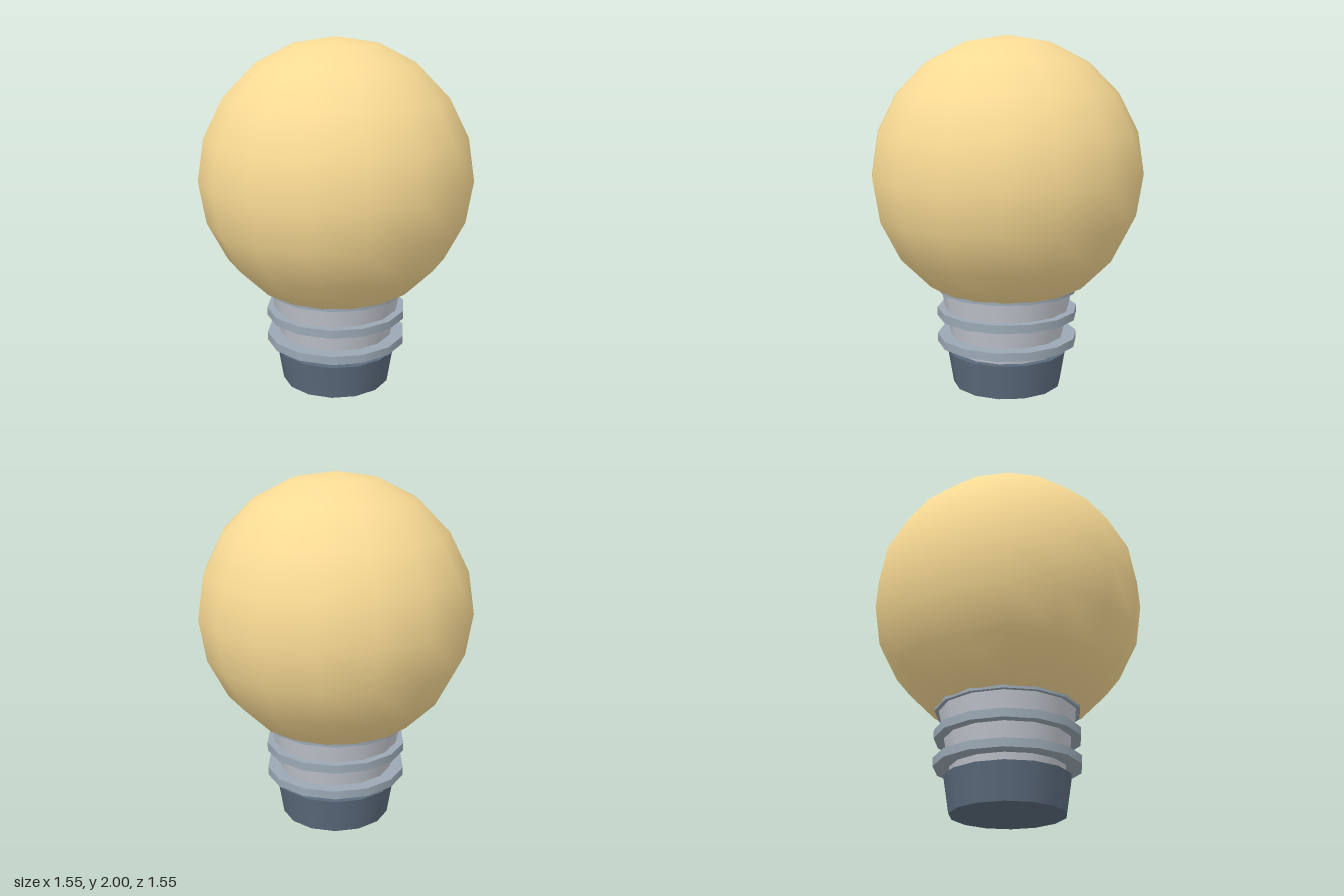
import * as THREE from 'three';

const SIDES = 14;

export function createModel() {
  const model = new THREE.Group();

  const add = (name, geometry, color, y) => {
    const mesh = new THREE.Mesh(geometry, new THREE.MeshStandardMaterial({ color }));
    mesh.name = name;
    mesh.position.y = y;
    model.add(mesh);
  };

  // Round part standing on bottomY, with a corner of its polygon on the x axis
  const addRound = (name, topR, bottomR, bottomY, topY, color) => {
    const height = topY - bottomY;
    const geometry = new THREE.CylinderGeometry(topR, bottomR, height, SIDES, 1, false, Math.PI / 2);
    add(name, geometry, color, bottomY + height / 2);
  };

  // Glass globe
  add('globe', new THREE.SphereGeometry(0.773, 16, 10), 0xf8da94, 1.227);

  // Tapered metal neck, reaching up into the globe
  addRound('neck', 0.394, 0.308, 0.2, 0.62, 0xc6cad2);

  // Screw thread rings
  for (let i = 0; i < 3; i++) {
    const y = 0.249 + i * 0.156;
    addRound(`threadRing${i + 1}`, 0.405, 0.405, y, y + 0.047, 0x9aa8b4);
  }

  // Dark foot
  addRound('foot', 0.347, 0.314, 0, 0.201, 0x5b6b7c);

  return model;
}
